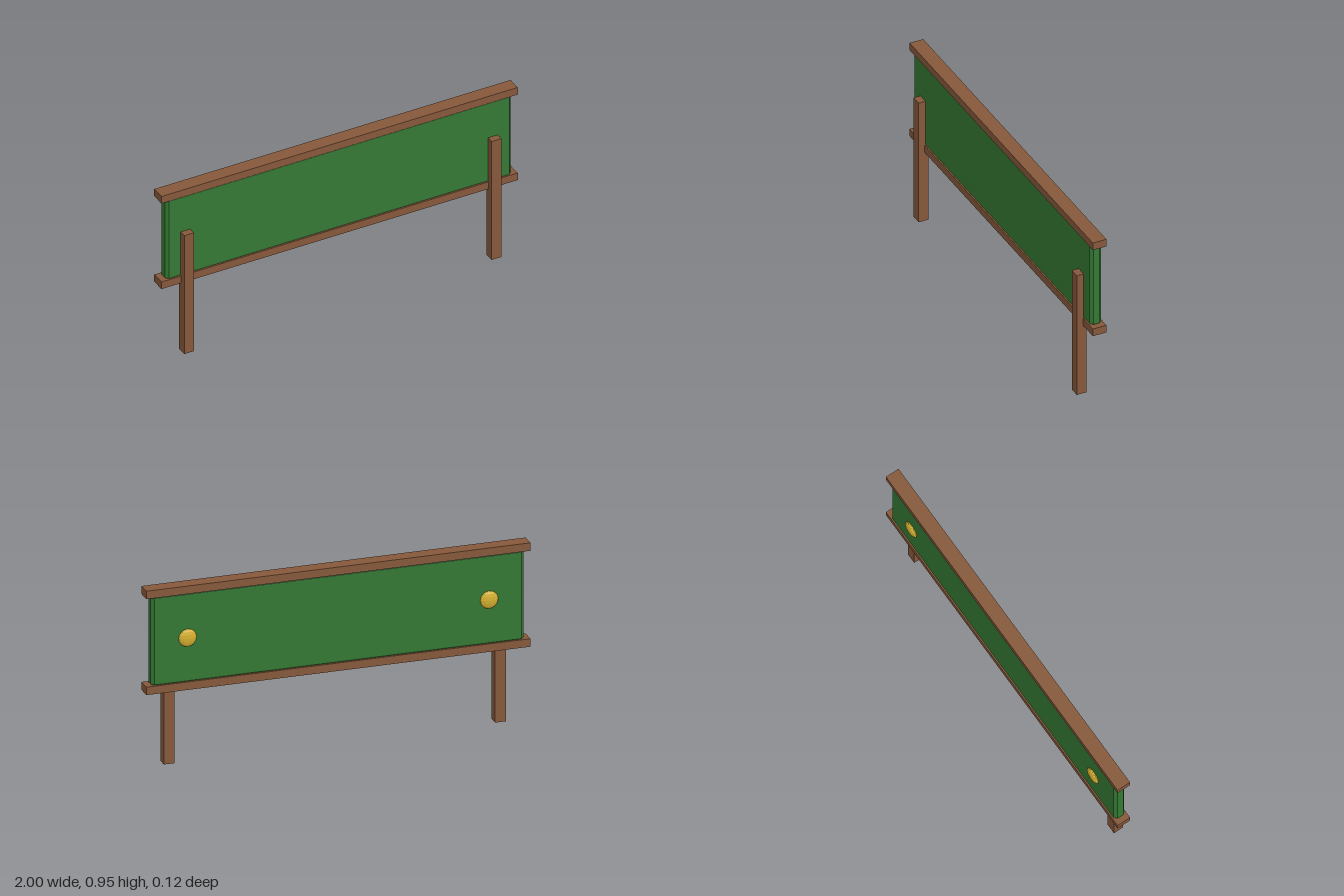
import * as THREE from 'three';

export function createModel() {
  const wood = new THREE.MeshStandardMaterial({ color: 0x85583a });
  const green = new THREE.MeshStandardMaterial({ color: 0x347834 });
  const gold = new THREE.MeshStandardMaterial({ color: 0xd4af2f });
  wood.name = 'brown wood';
  green.name = 'green panel';
  gold.name = 'gold';
  green.flatShading = gold.flatShading = true;

  const model = new THREE.Group();
  model.name = 'signBoard';
  const add = (name, geometry, material, x, y, z) => {
    const mesh = new THREE.Mesh(geometry, material);
    mesh.name = name;
    mesh.position.set(x, y, z);
    model.add(mesh);
    return mesh;
  };

  // Panel: chamfered plan raised upward, with a slight bevel top and bottom
  const b = 0.005, w = 0.97 - b, d = 0.0315 - b, cx = 0.012, cz = 0.012;
  const plan = new THREE.Shape([
    [w, -d + cz], [w, d - cz], [w - cx, d], [-w + cx, d],
    [-w, d - cz], [-w, -d + cz], [-w + cx, -d], [w - cx, -d],
  ].map(([x, y]) => new THREE.Vector2(x, y)));
  const panel = new THREE.ExtrudeGeometry(plan, {
    depth: 0.467 - 2 * b, bevelEnabled: true, bevelSegments: 1, bevelSize: b, bevelThickness: b,
  });
  panel.rotateX(-Math.PI / 2);
  add('panel', panel, green, 0, 0.443 + b, -0.0065);

  // Rails above and below the panel
  const rail = new THREE.BoxGeometry(2, 0.042, 0.075);
  add('topRail', rail, wood, 0, 0.931, -0.0075);
  add('bottomRail', rail, wood, 0, 0.423, -0.0075);

  // Front posts and back studs, mirrored
  const post = new THREE.BoxGeometry(0.055, 0.703, 0.053);
  const stud = new THREE.SphereGeometry(0.047, 12, 8);
  for (const [side, s] of [['left', 1], ['right', -1]]) {
    add(side + 'Post', post, wood, s * 0.8625, 0.3515, 0.0365);
    add(side + 'Stud', stud, gold, s * 0.785, 0.678, -0.044).scale.z = 0.35;
  }
  return model;
}
